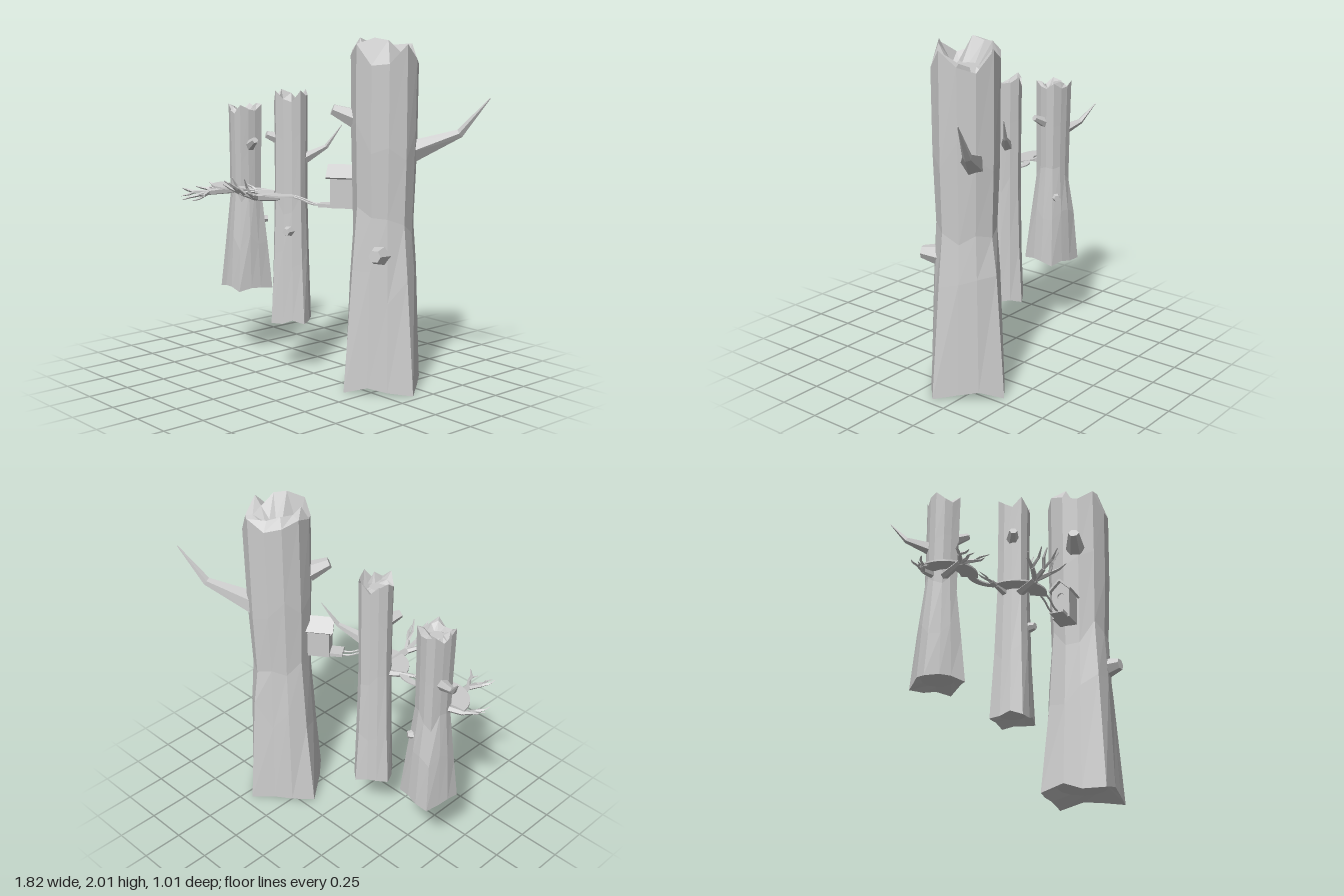
import * as THREE from 'three';

const mat = new THREE.MeshStandardMaterial({ color: 0xcccccc, flatShading: true, side: THREE.DoubleSide });
const V = (p) => new THREE.Vector3(...p);
const noise = (n) => { const s = Math.sin(n * 127.1 + 3.7) * 43758.5; return (s - Math.floor(s)) * 2 - 1; };

function add(parent, name, geometry, pos = [0, 0, 0]) {
  const m = new THREE.Mesh(geometry, mat);
  m.name = name;
  m.position.set(...pos);
  parent.add(m);
  return m;
}

// Skin a list of equal rings of points and close both ends
function loft(rings) {
  const n = rings[0].length, pts = rings.flat(), idx = [];
  for (let r = 0; r < rings.length - 1; r++) for (let i = 0; i < n; i++) {
    const a = r * n + i, b = r * n + (i + 1) % n;
    idx.push(a, a + n, b, b, a + n, b + n);
  }
  [0, rings.length - 1].forEach((r) => {
    const c = pts.length;
    pts.push(rings[r].reduce((s, p) => s.add(p), new THREE.Vector3()).divideScalar(n));
    for (let i = 0; i < n; i++) {
      const a = r * n + i, b = r * n + (i + 1) % n;
      if (r === 0) idx.push(c, a, b); else idx.push(c, b, a);
    }
  });
  const g = new THREE.BufferGeometry().setFromPoints(pts);
  g.setIndex(idx);
  g.computeVertexNormals();
  return g;
}

// Tapered limb through points, one radius per point
function limb(path, radii, sides = 5) {
  const p = path.map(V);
  return loft(p.map((c, k) => {
    const t = p[Math.min(k + 1, p.length - 1)].clone().sub(p[Math.max(k - 1, 0)]).normalize();
    const ref = Math.abs(t.y) > 0.9 ? V([1, 0, 0]) : V([0, 1, 0]);
    const u = t.clone().cross(ref).normalize(), w = u.clone().cross(t);
    return Array.from({ length: sides }, (_, i) => {
      const a = i / sides * Math.PI * 2;
      return c.clone().addScaledVector(u, Math.cos(a) * radii[k]).addScaledVector(w, Math.sin(a) * radii[k]);
    });
  }));
}

// Ridged trunk: profile rows are height, radius, squareness; ends are splintered
function trunk({ x, z, profile, turn, seed, jag }) {
  const sides = 12, last = profile.length - 1;
  const ring = (y, r, square, lift) => Array.from({ length: sides }, (_, i) => {
    const a = i / sides * Math.PI * 2;
    const rr = r * (1 + square * Math.cos(4 * a) + 0.03 * noise(i + seed));
    return new THREE.Vector3(x + rr * Math.cos(a + turn), y + lift(i), z + rr * Math.sin(a + turn));
  });
  const flat = () => 0;
  const stagger = (k) => (i) => jag * 0.9 * noise(i * 5 + seed + k);
  const tooth = (i) => jag * (i % 3 === 0 ? 0.1 : 0.35 + 0.65 * Math.abs(noise(i * 3 + seed)));
  const foot = (i) => jag * (i % 3 === 0 ? 0 : 0.35 * Math.abs(noise(i * 7 + seed)));
  const [y0, r0] = profile[0], [y1, r1] = profile[last];
  return loft([
    ring(y0 + jag * 0.5, r0 * 0.62, 0, flat),
    ...profile.map(([y, r, sq], k) =>
      ring(y, r, sq, k === 0 ? foot : k === last ? (i) => -tooth(i) : stagger(k))),
    ring(y1 - jag * 0.7, r1 * 0.75, 0, stagger(20)),
    ring(y1 - jag * 0.9, r1 * 0.38, 0, flat),
  ]);
}

// Flat curved walkway lying in the ground plane
function crescent(rOut, rIn, a0, a1, thick) {
  const s = new THREE.Shape();
  s.absarc(0, 0, rOut, a0, a1, false);
  s.absarc(0, 0, rIn, a1, a0, true);
  return new THREE.ExtrudeGeometry(s, { depth: thick, bevelEnabled: false, curveSegments: 10 }).rotateX(Math.PI / 2);
}

// Bough: a stem splits into arms, and every arm ends in bent twigs
function bough(parent, name, from, fork, arms, r) {
  const g = new THREE.Group();
  g.name = name;
  parent.add(g);
  add(g, 'boughStem', limb([from, fork], [r, r * 0.75]));
  for (const [elbow, ...tips] of arms) {
    add(g, 'boughArm', limb([fork, elbow], [r * 0.65, r * 0.45]));
    tips.forEach((tip, i) => {
      const kink = V(elbow).lerp(V(tip), 0.5);
      kink.x += 0.012 * (i % 2 ? 1 : -1);
      add(g, 'twig', limb([elbow, kink.toArray(), tip], [r * 0.42, r * 0.32, r * 0.1], 4));
    });
  }
}

export function createModel() {
  const root = new THREE.Group();
  root.name = 'treeTrunkHideout';

  // Trunks
  const trunks = {
    largeTrunk: { x: 0.42, z: -0.157, turn: 0.09, seed: 2, jag: 0.13,
      profile: [[0.01, 0.24, 0.18], [0.65, 0.203, 0.1], [0.98, 0.18, 0.06], [1.45, 0.194, 0.04], [2, 0.197, 0.03]] },
    middleTrunk: { x: -0.172, z: 0.03, turn: 0.12, seed: 9, jag: 0.08,
      profile: [[0.315, 0.124, 0.13], [0.7, 0.108, 0.08], [1.05, 0.098, 0.06], [1.4, 0.098, 0.05], [1.72, 0.1, 0.05]] },
    smallTrunk: { x: -0.637, z: 0.015, turn: 0.93, seed: 5, jag: 0.06,
      profile: [[0.44, 0.145, 0.17], [0.75, 0.122, 0.14], [1.02, 0.092, 0.1], [1.3, 0.094, 0.1], [1.61, 0.098, 0.1]] },
  };
  for (const [name, t] of Object.entries(trunks)) add(root, name, trunk(t));

  // Long bent branches
  [
    [[[0.5, 1.37, -0.27], [0.75, 1.49, -0.435], [0.905, 1.69, -0.505]], [0.07, 0.026, 0.003]],
    [[[-0.12, 1.3, -0.02], [0, 1.38, -0.1], [0.08, 1.51, -0.15]], [0.036, 0.014, 0.002]],
    [[[-0.68, 1.27, 0], [-0.83, 1.32, -0.06], [-0.91, 1.43, -0.12]], [0.042, 0.018, 0.002]],
  ].forEach(([path, radii]) => add(root, 'branch', limb(path, radii)));

  // Broken branch stubs
  [
    [[0.31, 1.57, -0.03], [0.235, 1.62, 0.065], 0.06],
    [[0.52, 0.81, -0.05], [0.57, 0.82, 0.05], 0.066],
    [[-0.21, 1.42, 0.08], [-0.25, 1.45, 0.155], 0.042],
    [[-0.12, 0.88, 0.08], [-0.09, 0.88, 0.14], 0.038],
    [[-0.57, 1.35, 0.03], [-0.49, 1.39, 0.05], 0.035],
    [[-0.59, 0.88, -0.03], [-0.545, 0.88, -0.09], 0.036],
  ].forEach(([a, b, r]) => add(root, 'stub', limb([a, b], [r, r * 0.55], 6)));

  // Curved decks in front of the two smaller trunks, with a link between
  add(root, 'smallDeck', crescent(0.18, 0.08, 0.4, 3.05, 0.01), [-0.63, 1.104, 0.06]);
  add(root, 'middleDeck', crescent(0.18, 0.08, 0.4, 2.92, 0.01), [-0.17, 1.104, 0.06]);
  add(root, 'linkWalk', crescent(0.16, 0.12, -2.45, -0.7, 0.008), [-0.4, 1.102, 0.215]);

  // Sagging pair of poles up to the bird house
  for (const s of [-1, 1]) {
    const o = 0.016 * s;
    const curve = new THREE.CatmullRomCurve3([
      [-0.03 + o * 0.5, 1.1, 0.13 + o], [0.02 + o * 0.5, 1.085, 0.1 + o],
      [0.07 + o * 0.5, 1.062, 0.065 + o], [0.16 + o * 0.5, 1.062, 0.01 + o]].map(V));
    add(root, 'bridgePole', new THREE.TubeGeometry(curve, 10, 0.006, 5));
  }

  // Twiggy boughs carrying the decks
  bough(root, 'middleFrontBough', [-0.18, 1.08, 0.1], [-0.18, 1.09, 0.29], [
    [[-0.245, 1.12, 0.36], [-0.315, 1.17, 0.43], [-0.25, 1.2, 0.47]],
    [[-0.18, 1.12, 0.38], [-0.2, 1.22, 0.45], [-0.165, 1.2, 0.5]],
    [[-0.13, 1.11, 0.36], [-0.11, 1.22, 0.43], [-0.075, 1.15, 0.45]]], 0.028);
  bough(root, 'smallFrontBough', [-0.66, 1.07, 0.1], [-0.66, 1.07, 0.29], [
    [[-0.705, 1.075, 0.36], [-0.745, 1.1, 0.42], [-0.7, 1.06, 0.46]],
    [[-0.66, 1.06, 0.36], [-0.675, 1.04, 0.47]],
    [[-0.61, 1.06, 0.36], [-0.56, 1.08, 0.43], [-0.6, 1.04, 0.45]]], 0.024);
  bough(root, 'smallSideBough', [-0.7, 1.08, 0.05], [-0.79, 1.07, 0.09], [
    [[-0.83, 1.08, 0.11], [-0.88, 1.1, 0.12], [-0.87, 1.06, 0.19]],
    [[-0.82, 1.06, 0.16], [-0.87, 1.08, 0.23], [-0.83, 1.03, 0.24]]], 0.022);
  bough(root, 'middleSideBough', [-0.24, 1.08, 0.06], [-0.33, 1.095, 0.1], [
    [[-0.39, 1.1, 0.125], [-0.485, 1.095, 0.17], [-0.46, 1.13, 0.14]],
    [[-0.38, 1.09, 0.14], [-0.44, 1.085, 0.18]]], 0.022);

  // Bird house: local +z is its gable front
  const house = new THREE.Group();
  house.name = 'birdHouse';
  house.position.set(0.225, 1.05, -0.03);
  house.rotation.y = -0.95;
  root.add(house);
  const wall = new THREE.Shape([[-0.055, 0], [0.055, 0], [0.055, 0.18], [0, 0.235], [-0.055, 0.18]]
    .map((p) => new THREE.Vector2(...p)));
  const body = wall.clone();
  add(house, 'houseBody', new THREE.ExtrudeGeometry(body, { depth: 0.118, bevelEnabled: false }), [0, 0, -0.065]);
  wall.holes.push(new THREE.Path().absarc(0, 0.14, 0.022, 0, Math.PI * 2, true));
  add(house, 'frontWall', new THREE.ExtrudeGeometry(wall, { depth: 0.012, bevelEnabled: false, curveSegments: 6 }), [0, 0, 0.053]);
  for (const s of [-1, 1]) {
    const roof = add(house, 'roofPanel', new THREE.BoxGeometry(0.1, 0.012, 0.17), [0.034 * s, 0.21, 0.005]);
    roof.rotation.z = -s * Math.PI / 4;
  }
  add(house, 'porch', new THREE.BoxGeometry(0.085, 0.02, 0.08), [0, 0.01, 0.1]);
  return root;
}
